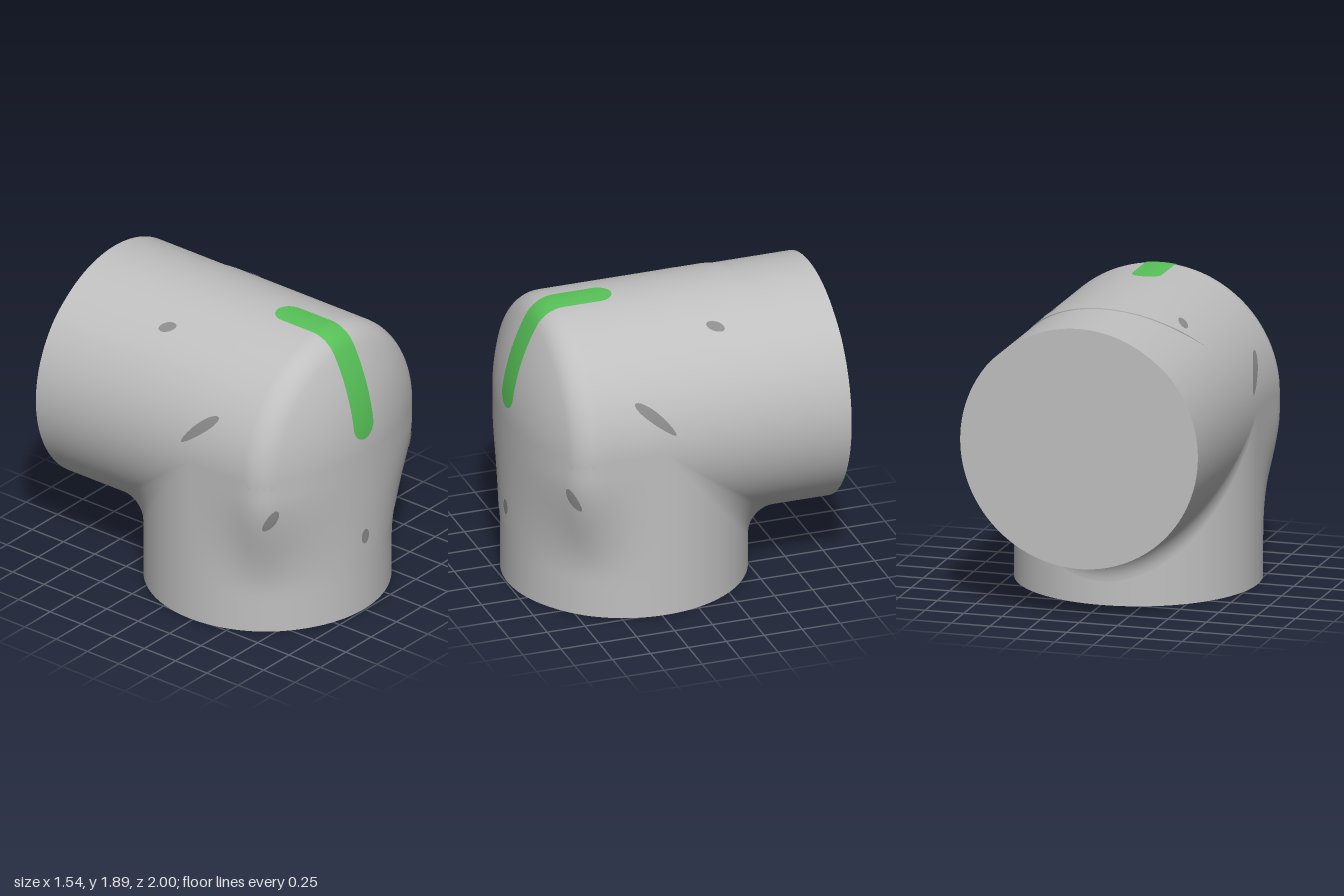
import * as THREE from 'three';
import { toCreasedNormals } from 'three/addons/utils/BufferGeometryUtils.js';

const R = 0.7725;            // pipe radius
const AY = 1.115;            // height of the horizontal axis
const AZ = 0.225;            // depth of the vertical axis
const DOME = 1.4, DOME_Z = -0.4;   // shallow domed front
const EDGE = 0.2, EDGE_Z = 0.6546; // rounded dome edge
const SEAM = 1.39;           // mitre plane y + z = SEAM
const STEP = 0.007;          // height of the seam step
const smooth = THREE.MathUtils.smoothstep;

// Surface from a rule fn(u, v) -> [x, y, z], u and v in steps
function grid(fn, nu, nv) {
  const pos = [], idx = [], w = nv + 1;
  for (let i = 0; i <= nu; i++) for (let j = 0; j <= nv; j++) pos.push(...fn(i, j));
  for (let i = 0; i < nu; i++) for (let j = 0; j < nv; j++) {
    const a = i * w + j, b = a + w;
    idx.push(a, b, a + 1, b, b + 1, a + 1);
  }
  const g = new THREE.BufferGeometry();
  g.setAttribute('position', new THREE.Float32BufferAttribute(pos, 3));
  g.setIndex(idx);
  return toCreasedNormals(g, 0.5);
}

// Front face of the dome at distance r from the horizontal axis
function domeZ(r) {
  if (r < 0.668) return DOME_Z + Math.sqrt(DOME * DOME - r * r);
  return EDGE_Z + Math.sqrt(Math.max(0, EDGE * EDGE - (r - R + EDGE) ** 2));
}

// Last value between lo and hi for which the test still holds
function bisect(test, lo, hi) {
  for (let i = 0; i < 30; i++) {
    const m = (lo + hi) / 2;
    if (test(m)) lo = m; else hi = m;
  }
  return lo;
}

// Leg radius: a circle at the foot, swelling to the dome outline at the axis
function legRadius(a, y) {
  const s = Math.sin(a), c = Math.cos(a);
  if (c <= 0) return R;
  const wide = bisect((r) => Math.abs(r * s) <= R && AZ + r * c < domeZ(Math.abs(r * s)), 0.7, 1.1);
  return THREE.MathUtils.lerp(R, wide, smooth(y, 0.25, 1.0));
}

function inside(p) {
  const r = Math.hypot(p.x, p.y - AY);
  if (r <= R && p.z < domeZ(r)) return true;
  return p.y < AY && Math.hypot(p.x, p.z - AZ) < legRadius(Math.atan2(p.x, p.z - AZ), p.y);
}

// Move a point along a direction onto the body
function project(p, dir, depth) {
  const at = (t) => p.clone().addScaledVector(dir, t);
  return at(bisect((t) => inside(at(t)), -depth, depth));
}

// Horizontal pipe with closed back and domed front
function pipeGeometry() {
  const front = [];
  for (let i = 0; i <= 10; i++) {
    const t = (i / 10) * 1.0735;
    front.push([R - EDGE + EDGE * Math.cos(t), EDGE_Z + EDGE * Math.sin(t)]);
  }
  for (let i = 1; i <= 16; i++) {
    const r = 0.668 * (1 - i / 16);
    front.push([r, domeZ(r)]);
  }
  return grid((i, j) => {
    const a = (i / 120) * Math.PI * 2;
    const y = AY + R * Math.sin(a);
    const low = R - STEP * smooth(y, 1.6, 1.75);
    const seamZ = SEAM - Math.max(y, 1.63);
    const back = [[0, -1], [low, -1], [low, seamZ], [R, seamZ]];
    const [r, z] = j < 4 ? back[j] : front[j - 4];
    return [r * Math.cos(a), AY + r * Math.sin(a), z];
  }, 120, 3 + front.length);
}

// Vertical leg with closed foot
function legGeometry() {
  const lower = 14, upper = 20;
  return grid((i, j) => {
    const a = (i / 120) * Math.PI * 2, c = Math.cos(a);
    if (j === 0) return [0, 0, AZ];
    let seamY = 0.5;
    for (let k = 0; k < 10; k++) seamY = Math.min(0.7, SEAM - AZ - legRadius(a, seamY) * c);
    const below = j <= lower + 1;
    const y = below
      ? seamY * (j - 1) / lower
      : THREE.MathUtils.lerp(seamY, AY, (j - lower - 2) / upper);
    const step = below ? STEP * smooth(SEAM - seamY, 0.72, 0.9) : 0;
    const r = legRadius(a, y) - step;
    return [r * Math.sin(a), y, AZ + r * c];
  }, 120, lower + upper + 2);
}

// Rounded inner corner, fading out along the mitre
function filletGeometry() {
  return grid((i, j) => {
    const a = (i / 60 - 0.5) * Math.PI, t = (1 - j / 12) * Math.PI / 2;
    const f = 0.19 * Math.cos(a), d = R * Math.cos(a) + f;
    return [R * Math.sin(a), AY - d + f * Math.sin(t), AZ - d + f * Math.cos(t)];
  }, 60, 12);
}

// Green strip over the top edge of the dome, with round ends
function stripGeometry() {
  const pts = [];
  for (let i = 0; i <= 16; i++) {
    const r = 0.095 + (0.668 - 0.095) * i / 16;
    pts.push(new THREE.Vector3(0, AY + r, domeZ(r)));
  }
  for (let i = 1; i <= 10; i++) {
    const t = 1.0735 * (1 - i / 10);
    pts.push(new THREE.Vector3(0, AY + R - EDGE + EDGE * Math.cos(t), EDGE_Z + EDGE * Math.sin(t)));
  }
  for (let i = 1; i <= 4; i++) pts.push(new THREE.Vector3(0, AY + R, EDGE_Z + (0.31 - EDGE_Z) * i / 4));
  const path = new THREE.CatmullRomCurve3(pts);
  path.arcLengthDivisions = 600;
  const len = path.getLength(), w = 0.095, n = 80;
  return grid((i, j) => {
    const t = (1 - Math.cos(Math.PI * j / n)) / 2;
    const e = Math.min(w, t * len, (1 - t) * len);
    const half = Math.sqrt(Math.max(0, w * w - (w - e) ** 2));
    const p = path.getPointAt(t), tan = path.getTangentAt(t);
    const normal = new THREE.Vector3(0, -tan.z, tan.y).normalize();
    if (normal.z + normal.y < 0) normal.negate();
    p.x = (i / 8 * 2 - 1) * half;
    return project(p, normal, 0.15).addScaledVector(normal, 0.004).toArray();
  }, 8, n);
}

// Mouth of a screw hole bored square to the mitre plane
function holeGeometry(x, y, z) {
  const axis = new THREE.Vector3(0, 1, 1).normalize();
  const across = new THREE.Vector3(0, 1, -1).normalize();
  const core = new THREE.Vector3(0, 0.95, 0.1);
  return grid((i, j) => {
    const a = (i / 28) * Math.PI * 2, r = 0.035 * (1 - j / 4);
    const p = new THREE.Vector3(x + r * Math.cos(a), y, z).addScaledVector(across, r * Math.sin(a));
    const q = project(p, axis, 0.3);
    return q.addScaledVector(q.clone().sub(core).normalize(), 0.005).toArray();
  }, 28, 4);
}

export function createModel() {
  const shell = new THREE.MeshStandardMaterial({ color: 0xc0c0c0, side: THREE.DoubleSide });
  shell.name = 'shellGrey';
  const green = new THREE.MeshStandardMaterial({ color: 0x58c258, side: THREE.DoubleSide });
  green.name = 'stripGreen';
  const recess = new THREE.MeshStandardMaterial({ color: 0x8c8c8c, side: THREE.DoubleSide });
  recess.name = 'recessGrey';

  const model = new THREE.Group();
  model.name = 'elbowJoint';
  const add = (name, geometry, material) => {
    const mesh = new THREE.Mesh(geometry, material);
    mesh.name = name;
    model.add(mesh);
  };

  add('horizontalPipe', pipeGeometry(), shell);
  add('verticalLeg', legGeometry(), shell);
  add('innerFillet', filletGeometry(), shell);
  add('lightStrip', stripGeometry(), green);

  // Screw holes: one in front, three mirrored pairs
  add('frontScrewHole', holeGeometry(0, 0.525, 1), recess);
  for (const [side, s] of [['left', 1], ['right', -1]]) {
    add(side + 'TopScrewHole', holeGeometry(s * 0.43, 1.76, -0.22), recess);
    add(side + 'SideScrewHole', holeGeometry(s * 0.73, 1.35, 0.285), recess);
    add(side + 'FrontScrewHole', holeGeometry(s * 0.68, 0.84, 0.79), recess);
  }
  return model;
}
